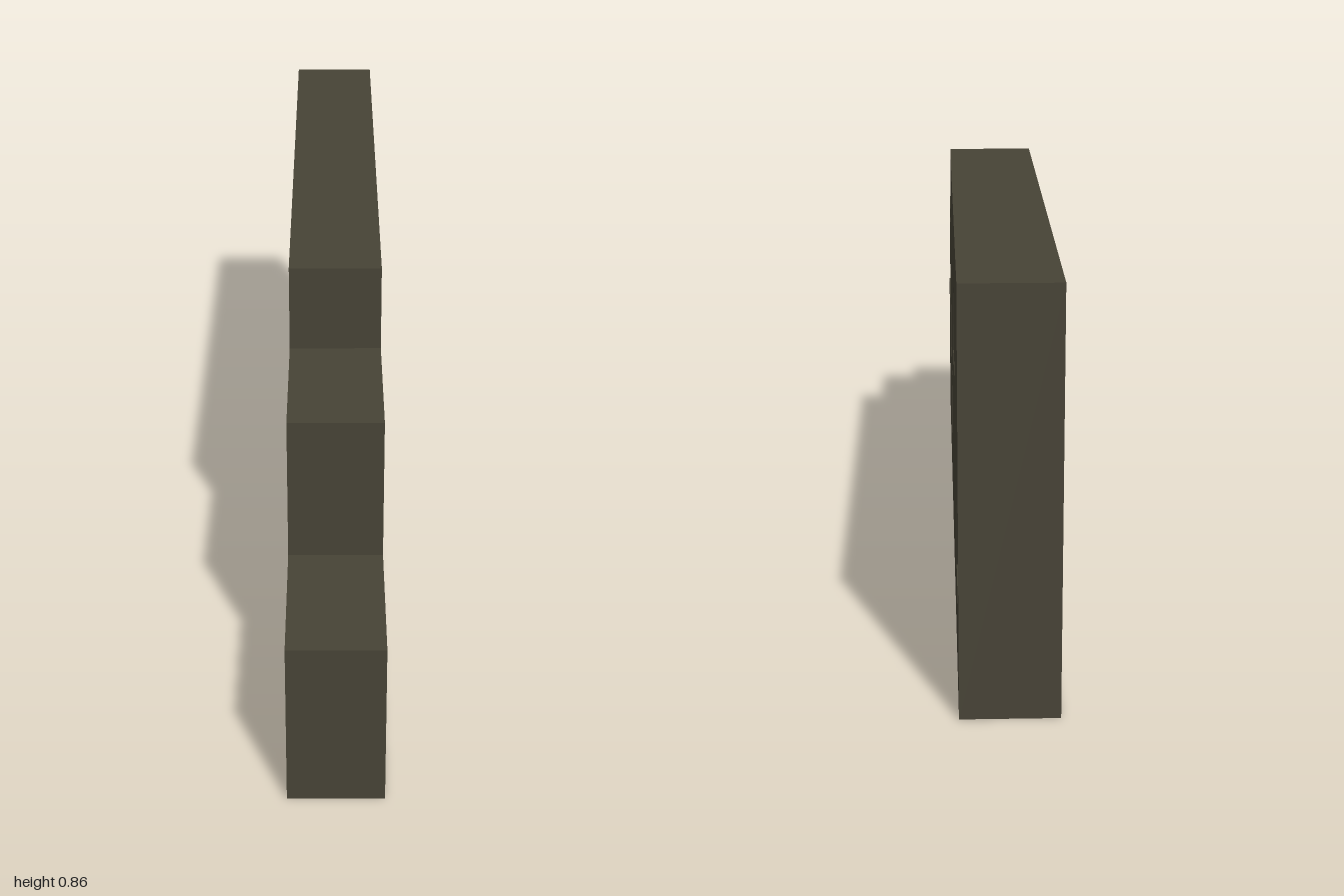
import * as THREE from 'three';

// Points are [z, y]; the shape's x axis runs along -z.
const toPoints = (pairs) => pairs.map(([z, y]) => new THREE.Vector2(-z, y));

const THICKNESS = 0.195;

// Stepped silhouette of the wall
const OUTLINE = [
  [1, 0], [-1, 0], [-1, 0.857], [0.34, 0.857],
  [0.34, 0.67], [0.67, 0.67], [0.67, 0.36], [1, 0.36],
];

// Irregular openings that pass right through
const OPENINGS = [
  [[0.58, 0.52], [0.38, 0.52], [0.38, 0.263], [0.617, 0.263]],
  [[0.19, 0.33], [0.045, 0.335], [0.023, 0.215], [0.215, 0.16]],
  [[-0.142, 0.48], [-0.222, 0.635], [-0.303, 0.67], [-0.475, 0.51]],
  [[-0.7, 0.19], [-0.795, 0.36], [-0.945, 0.385], [-0.938, 0.19]],
];

export function createModel() {
  const stone = new THREE.MeshStandardMaterial({ color: 0x474336 });
  stone.name = 'dark stone';

  const shape = new THREE.Shape(toPoints(OUTLINE));
  shape.holes = OPENINGS.map((o) => new THREE.Path(toPoints(o)));

  const geometry = new THREE.ExtrudeGeometry(shape, { depth: THICKNESS, bevelEnabled: false });
  geometry.translate(0, 0, -THICKNESS / 2);
  geometry.rotateY(Math.PI / 2);

  const wall = new THREE.Mesh(geometry, stone);
  wall.name = 'steppedWall';

  const model = new THREE.Group();
  model.name = 'ruinedWall';
  model.add(wall);
  return model;
}
